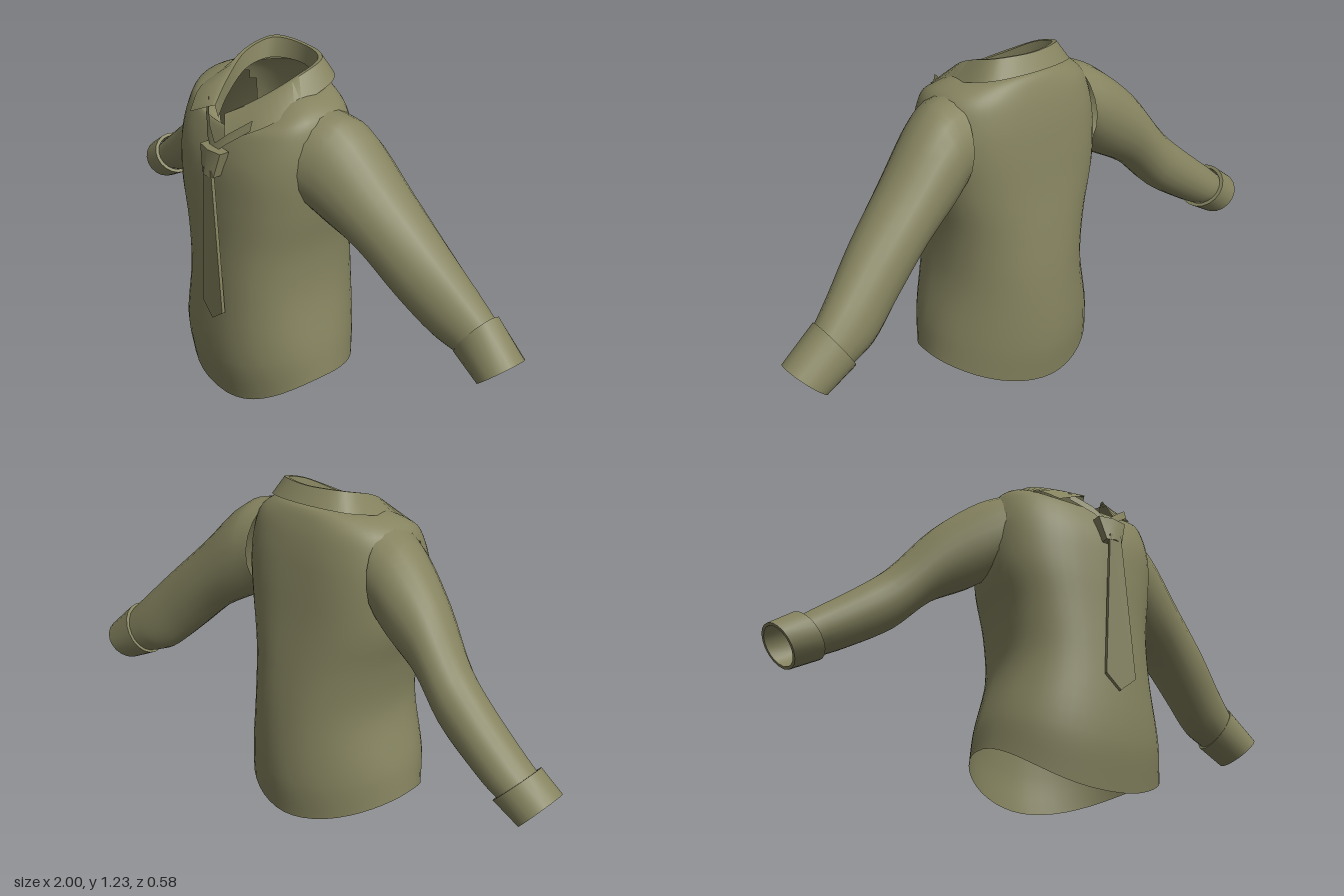
import * as THREE from 'three';
import { toCreasedNormals } from 'three/addons/utils/BufferGeometryUtils.js';

const V = (x, y, z) => new THREE.Vector3(x, y, z);
const cloth = new THREE.MeshStandardMaterial({ color: 0x85835f, side: THREE.DoubleSide });

// Skin a list of rings (equal point counts); smooth > 1 adds rounded in-between rings,
// and faces whose corner lies where hole(x, y, z) is true are left open
function loft(rings, { smooth = 1, closed = true, hole = () => false } = {}) {
  const n = rings[0].length, rows = (rings.length - 1) * smooth + 1;
  const cols = [];
  for (let j = 0; j < n; j++) {
    const col = rings.map(r => r[j]);
    if (smooth === 1) cols.push(col);
    else {
      const curve = new THREE.CatmullRomCurve3(col);
      cols.push(Array.from({ length: rows }, (_, i) => curve.getPoint(i / (rows - 1))));
    }
  }
  const pos = [], idx = [];
  for (let i = 0; i < rows; i++) for (let j = 0; j < n; j++) pos.push(...cols[j][i].toArray());
  for (let i = 0; i < rows - 1; i++) {
    for (let j = 0; j < (closed ? n : n - 1); j++) {
      const k = (j + 1) % n, a = i * n + j, b = i * n + k;
      const mid = cols[j][i].clone().lerp(cols[k][i + 1], 0.5);
      if (!hole(mid)) idx.push(a, b, b + n, a, b + n, a + n);
    }
  }
  const g = new THREE.BufferGeometry();
  g.setAttribute('position', new THREE.Float32BufferAttribute(pos, 3));
  g.setIndex(idx);
  g.computeVertexNormals();
  return g;
}

// Torso ring: side height, x limits, z limits, front and back roundness,
// height change at front and back
function torsoRing([y, xl, xr, zf, zb, roundF, roundB, df = 0, db = 0], n = 48) {
  return Array.from({ length: n }, (_, j) => {
    const a = j / n * Math.PI * 2, s = Math.sin(a), c = Math.cos(a);
    const soft = v => Math.sign(v) * Math.abs(v) ** (c > 0 ? roundF : roundB);
    return V((xl + xr) / 2 + (xr - xl) / 2 * soft(s),
      y + (c > 0 ? df : db) * c * c,
      soft(c) * (c > 0 ? zf : -zb));
  });
}

// Arm ring from its upper point, lower point and z limits
function armRing([tx, ty, bx, by, zb, zf], side, scale = 1, n = 20) {
  return Array.from({ length: n }, (_, j) => {
    const a = j / n * Math.PI * 2, c = Math.cos(a) * scale / 2, s = Math.sin(a) * scale / 2;
    return V(side * ((tx + bx) / 2 + (tx - bx) * c), (ty + by) / 2 + (ty - by) * c,
      (zb + zf) / 2 + side * (zf - zb) * s);
  });
}

export function createModel() {
  const model = new THREE.Group();
  const add = (geometry, name) => {
    const m = new THREE.Mesh(geometry, cloth);
    m.name = name;
    model.add(m);
    return m;
  };

  // Shirt body, from the curved hem to the neck opening, with open armholes
  const body = [
    [0.14, -0.32, 0.345, 0.25, -0.275, 0.88, 1.05, -0.14, -0.085],
    [0.25, -0.305, 0.33, 0.278, -0.288, 0.86, 1.05, -0.08, -0.05],
    [0.45, -0.255, 0.29, 0.272, -0.275, 0.82, 0.95],
    [0.62, -0.27, 0.285, 0.266, -0.255, 0.8, 0.88],
    [0.78, -0.31, 0.305, 0.262, -0.232, 0.78, 0.8],
    [0.92, -0.315, 0.315, 0.25, -0.215, 0.76, 0.75],
    [1.02, -0.305, 0.31, 0.222, -0.2, 0.76, 0.76, -0.01],
    [1.1, -0.275, 0.285, 0.205, -0.18, 0.8, 0.8, -0.06],
    [1.138, -0.21, 0.225, 0.195, -0.155, 0.9, 0.9, -0.115, 0.015],
    [1.15, -0.13, 0.15, 0.18, -0.13, 0.95, 0.95, -0.15, 0.015],
  ];
  const armhole = ({ x, y, z }) =>
    Math.abs(x) > 0.2 && Math.hypot((y - 0.945) / 0.145, (z + 0.022) / 0.125) < 1;
  add(loft(body.map(r => torsoRing(r)), { smooth: 5, hole: armhole }), 'shirtBody');

  // Sleeves and turned cuffs; each arm hangs a little differently
  const arms = [
    { side: 1, name: 'left', sleeve: [
      [0.255, 1.115, 0.285, 0.785, -0.17, 0.13],
      [0.35, 1.09, 0.34, 0.74, -0.188, 0.1],
      [0.53, 0.915, 0.46, 0.67, -0.21, 0.04],
      [0.69, 0.765, 0.59, 0.55, -0.23, -0.015],
      [0.81, 0.645, 0.7, 0.455, -0.25, -0.07],
      [0.885, 0.57, 0.79, 0.42, -0.255, -0.105],
    ], cuff: [[0.88, 0.59, 0.78, 0.415, -0.265, -0.1], [1.0, 0.485, 0.885, 0.365, -0.268, -0.1]] },
    { side: -1, name: 'right', sleeve: [
      [0.245, 1.12, 0.285, 0.785, -0.168, 0.13],
      [0.34, 1.075, 0.345, 0.745, -0.185, 0.09],
      [0.48, 0.955, 0.465, 0.68, -0.2, 0.02],
      [0.62, 0.775, 0.58, 0.565, -0.22, -0.04],
      [0.73, 0.675, 0.7, 0.485, -0.235, -0.065],
      [0.86, 0.57, 0.79, 0.435, -0.243, -0.085],
      [0.93, 0.51, 0.83, 0.42, -0.24, -0.09],
    ], cuff: [[0.92, 0.545, 0.8, 0.415, -0.255, -0.075], [1.0, 0.485, 0.895, 0.36, -0.25, -0.08]] },
  ];
  for (const { side, name, sleeve, cuff: [near, end] } of arms) {
    add(loft(sleeve.map(r => armRing(r, side)), { smooth: 4 }), name + 'Sleeve');
    const rings = [[near, 0.85], [near, 1], [end, 1], [end, 0.87], [near, 0.85]];
    add(toCreasedNormals(loft(rings.map(([r, s]) => armRing(r, side, s))), 0.8), name + 'Cuff');
  }

  // Folded collar: each row runs from the back to the left front, mirrored to its own right tip
  const rows = [
    { half: [[0, 1.165, -0.13], [0.11, 1.16, -0.085], [0.127, 1.14, 0], [0.09, 1.08, 0.11], [0.035, 1.04, 0.188]], tip: [-0.035, 1.04, 0.188] },
    { half: [[0, 1.228, -0.135], [0.12, 1.225, -0.1], [0.135, 1.195, 0], [0.092, 1.135, 0.11], [0.035, 1.085, 0.2]], tip: [-0.035, 1.085, 0.2] },
    { half: [[0, 1.23, -0.145], [0.13, 1.228, -0.11], [0.148, 1.197, 0], [0.108, 1.137, 0.12], [0.035, 1.085, 0.212]], tip: [-0.04, 1.085, 0.21] },
    { half: [[0, 1.178, -0.18], [0.165, 1.168, -0.135], [0.2, 1.135, 0], [0.192, 1.085, 0.15], [0.07, 1.008, 0.238]], tip: [-0.15, 1.03, 0.222] },
  ].map(({ half, tip }) => {
    const mirrored = half.slice(1, -1).reverse().map(([x, y, z]) => [-x, y, z]);
    const path = [tip, ...mirrored, ...half].map(([x, y, z]) => V(x + 0.006, y, z));
    return new THREE.CatmullRomCurve3(path).getPoints(40);
  });
  add(toCreasedNormals(loft(rows, { closed: false }), 0.9), 'collar');

  // Tie straps running from the knot up under the collar
  for (const side of [-1, 1]) {
    const strap = [[0.0, 0.955, 0.258], [0.05, 1.0, 0.243], [0.12, 1.06, 0.195]];
    const edge = lift => strap.map(([x, y, z]) => V(0.035 + side * x, y + lift, z - lift * 0.3));
    add(loft([edge(0), edge(0.035)], { closed: false }), 'tieStrap');
  }

  // Tie blade: tapered strip with a pointed end
  const blade = new THREE.Shape([[0.02, 0.91], [-0.005, 0.385], [0.05, 0.335], [0.11, 0.385], [0.065, 0.91]]
    .map(p => new THREE.Vector2(...p)));
  add(new THREE.ExtrudeGeometry(blade, { depth: 0.012, bevelEnabled: false }), 'tieBlade').position.z = 0.275;

  // Tie knot: block narrowing downward, leaning back at the top
  const knot = new THREE.BoxGeometry(0.1, 0.09, 0.035, 2, 1, 1);
  const p = knot.attributes.position;
  for (let i = 0; i < p.count; i++) {
    const low = p.getY(i) < 0;
    const bulge = p.getZ(i) > 0 && Math.abs(p.getX(i)) < 0.01 ? 0.01 : 0;
    p.setX(i, p.getX(i) * (low ? 0.62 : 1.1));
    p.setZ(i, p.getZ(i) + bulge - (low ? 0 : 0.012));
  }
  knot.computeVertexNormals();
  add(knot, 'tieKnot').position.set(0.04, 0.933, 0.265);

  return model;
}
